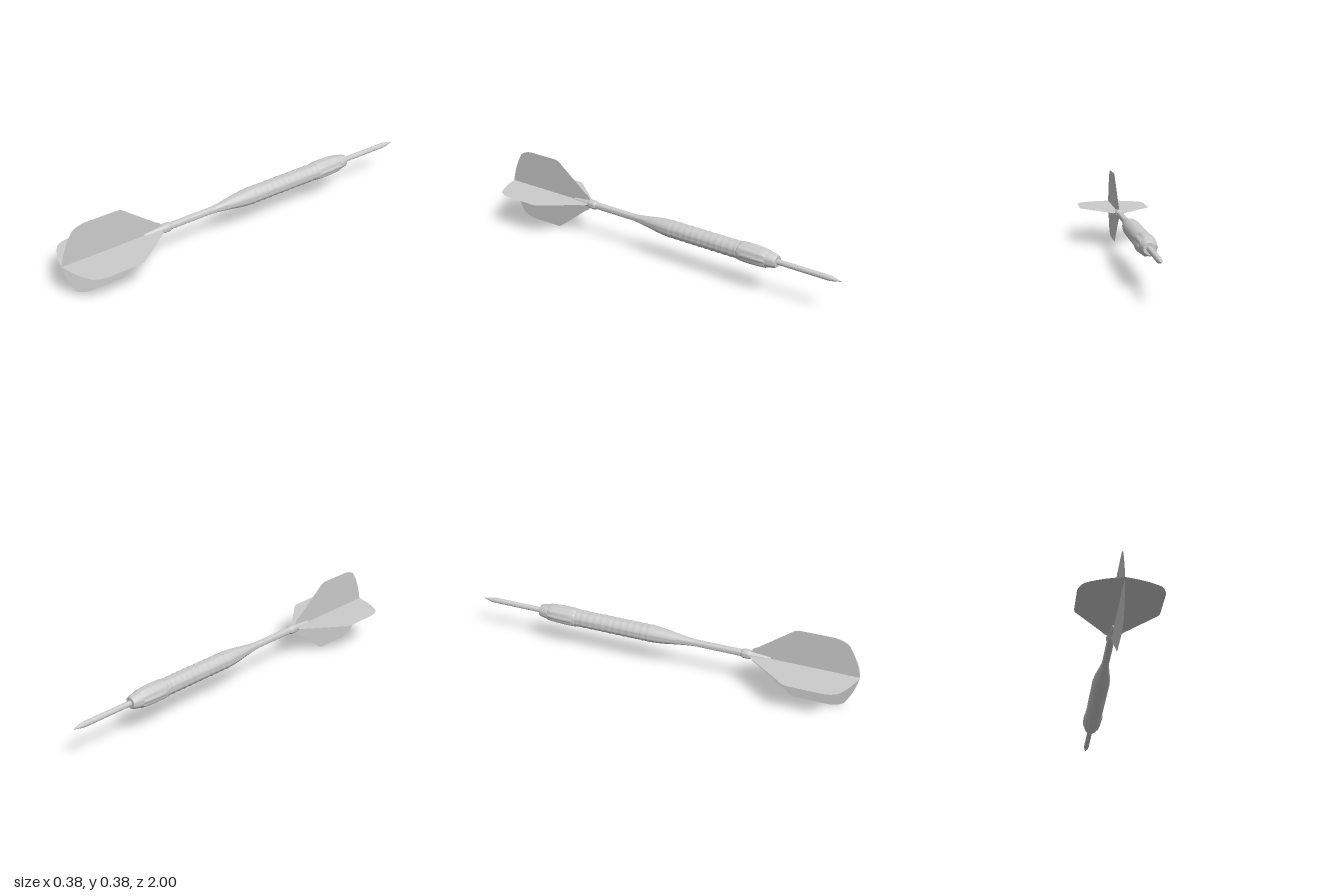
import * as THREE from 'three';
import { mergeVertices, toCreasedNormals } from 'three/addons/utils/BufferGeometryUtils.js';

const AXIS_Y = 0.192;
const material = new THREE.MeshStandardMaterial({ color: 0xcccccc });
const thinMaterial = new THREE.MeshStandardMaterial({ color: 0xcccccc, side: THREE.DoubleSide });

// Turned part along z from [z, radius] pairs; an optional rule scales the radius.
function turned(name, profile, segments = 32, rule = null) {
  let geo = new THREE.LatheGeometry(profile.map(([z, r]) => new THREE.Vector2(r, z)), segments);
  geo.rotateX(Math.PI / 2);
  if (rule) {
    const p = geo.attributes.position;
    for (let i = 0; i < p.count; i++) {
      const k = rule(p.getZ(i), Math.atan2(p.getY(i), p.getX(i)));
      p.setXY(i, p.getX(i) * k, p.getY(i) * k);
    }
  }
  geo.deleteAttribute('uv');
  geo.deleteAttribute('normal');
  geo = toCreasedNormals(mergeVertices(geo, 1e-5), 0.6);
  const mesh = new THREE.Mesh(geo, material);
  mesh.name = name;
  return mesh;
}

// One flat wing of the flight, reaching out along +x from the axis.
function wing() {
  const s = new THREE.Shape();
  s.moveTo(0, 0.47);
  s.lineTo(0.03, 0.47);
  s.quadraticCurveTo(0.04, 0.475, 0.05, 0.497);
  s.lineTo(0.175, 0.66);
  s.quadraticCurveTo(0.19, 0.675, 0.191, 0.7);
  s.lineTo(0.191, 0.86);
  s.quadraticCurveTo(0.189, 0.905, 0.165, 0.935);
  s.quadraticCurveTo(0.1, 0.98, 0, 1);
  s.closePath();
  const geo = new THREE.ShapeGeometry(s, 8);
  geo.rotateX(Math.PI / 2);
  return geo;
}

// Tapered jaw that grips the flight between two wings.
function jaw() {
  const shape = new THREE.Shape();
  shape.moveTo(0.003, 0.003);
  shape.lineTo(0.02, 0.003);
  shape.absarc(0, 0, 0.02, 0.15, Math.PI / 2 - 0.15, false);
  shape.lineTo(0.003, 0.02);
  shape.closePath();
  const geo = new THREE.ExtrudeGeometry(shape, { depth: 0.105, bevelEnabled: false, curveSegments: 5 });
  const p = geo.attributes.position;
  for (let i = 0; i < p.count; i++) {
    const k = 1 - 0.55 * p.getZ(i) / 0.105;
    p.setXY(i, p.getX(i) * k, p.getY(i) * k);
  }
  geo.translate(0, 0, 0.46);
  return toCreasedNormals(geo, 0.6);
}

export function createModel() {
  const model = new THREE.Group();
  model.name = 'dart';
  const body = new THREE.Group();
  body.name = 'body';
  body.position.y = AXIS_Y;
  model.add(body);

  // Steel point
  body.add(turned('point', [
    [-1, 0], [-0.985, 0.004], [-0.945, 0.0125], [-0.93, 0.0135], [-0.65, 0.0135],
  ], 20));

  // Nose collar
  body.add(turned('noseCollar', [
    [-0.665, 0], [-0.665, 0.028], [-0.655, 0.033], [-0.61, 0.041], [-0.59, 0.041],
  ]));

  // Fluted front grip
  const grip = [[-0.622, 0.034], [-0.61, 0.043], [-0.58, 0.0455], [-0.54, 0.0475],
    [-0.5, 0.048], [-0.475, 0.0475], [-0.462, 0.046], [-0.455, 0.04]];
  body.add(turned('flutedGrip', grip, 60, (z, a) => {
    const fade = THREE.MathUtils.smoothstep(-z, 0.455, 0.49);
    return 1 + 0.045 * fade * Math.cos(10 * a);
  }));

  // Rippled barrel with a smooth tapering tail
  const barrel = [];
  for (let i = 0; i <= 72; i++) {
    const t = i / 72;
    barrel.push([-0.47 + 0.43 * t, 0.0445 - 0.0018 * Math.abs(Math.cos(Math.PI * 12 * t))]);
  }
  barrel.push([-0.02, 0.0415], [0.02, 0.0375], [0.07, 0.03], [0.11, 0.0245], [0.15, 0.0195], [0.18, 0.0175]);
  body.add(turned('barrel', barrel));

  // Shaft and rear collar
  body.add(turned('shaft', [[0.16, 0.0175], [0.43, 0.0175]], 24));
  body.add(turned('rearCollar', [
    [0.415, 0.016], [0.422, 0.0215], [0.43, 0.0235], [0.455, 0.0235],
    [0.465, 0.0215], [0.47, 0.017], [0.47, 0],
  ], 24));

  // Four wings with a jaw in each gap
  const wingGeo = wing(), jawGeo = jaw();
  for (let i = 0; i < 4; i++) {
    const fin = new THREE.Mesh(wingGeo, thinMaterial);
    fin.name = 'flightWing' + (i + 1);
    fin.rotation.z = i * Math.PI / 2;
    const prong = new THREE.Mesh(jawGeo, material);
    prong.name = 'flightJaw' + (i + 1);
    prong.rotation.z = i * Math.PI / 2;
    body.add(fin, prong);
  }
  return model;
}
